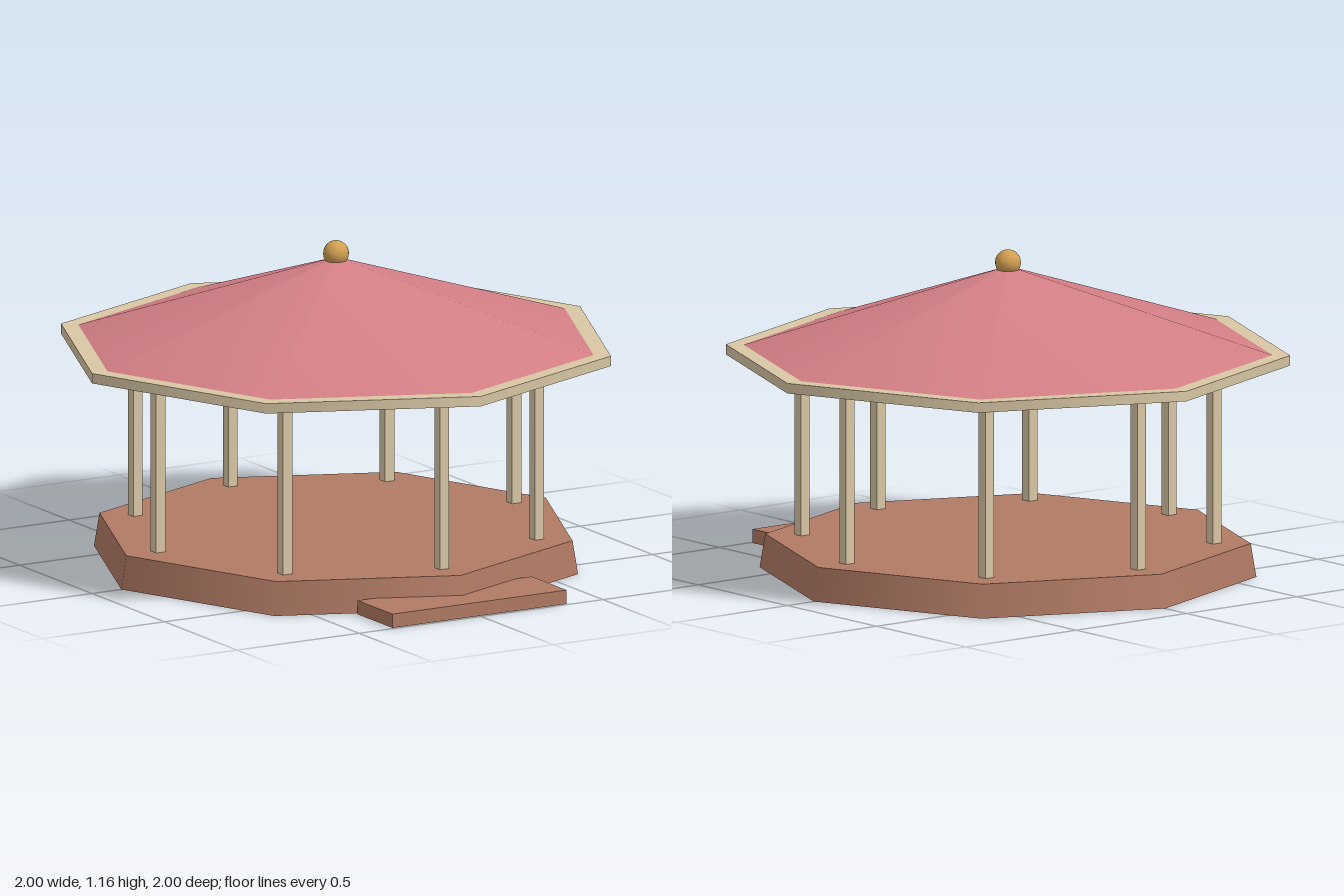
import * as THREE from 'three';

const material = (name, color) => {
  const m = new THREE.MeshStandardMaterial({ color });
  m.name = name;
  return m;
};

export function createModel() {
  const group = new THREE.Group();
  const wood = material('brown wood', 0xb07a64);
  const trim = material('cream trim', 0xd8c7a5);
  const rose = material('rose roof', 0xd37e85);
  const gold = material('gold', 0xd2a052);

  const add = (name, geometry, mat, x, y, z) => {
    const mesh = new THREE.Mesh(geometry, mat);
    mesh.name = name;
    mesh.position.set(x, y, z);
    group.add(mesh);
  };

  // Octagonal platform, slightly tapered, with a low step in front
  add('platform', new THREE.CylinderGeometry(0.86, 0.88, 0.12, 8), wood, 0, 0.06, 0);
  add('step', new THREE.BoxGeometry(0.714, 0.05, 0.24), wood, 0, 0.025, 0.87);

  // Eight square posts, one per corner
  const postGeometry = new THREE.BoxGeometry(0.038, 0.645, 0.038);
  for (let i = 0; i < 8; i++) {
    const a = (i * Math.PI) / 4;
    add('post', postGeometry, trim, 0.73 * Math.sin(a), 0.4425, 0.73 * Math.cos(a));
  }

  // Eave slab, pitched roof and ball finial
  add('eave', new THREE.CylinderGeometry(1, 1, 0.036, 8), trim, 0, 0.779, 0);
  add('roof', new THREE.ConeGeometry(0.94, 0.302, 8), rose, 0, 0.947, 0);
  add('finial', new THREE.SphereGeometry(0.046, 16, 12), gold, 0, 1.111, 0);

  return group;
}
